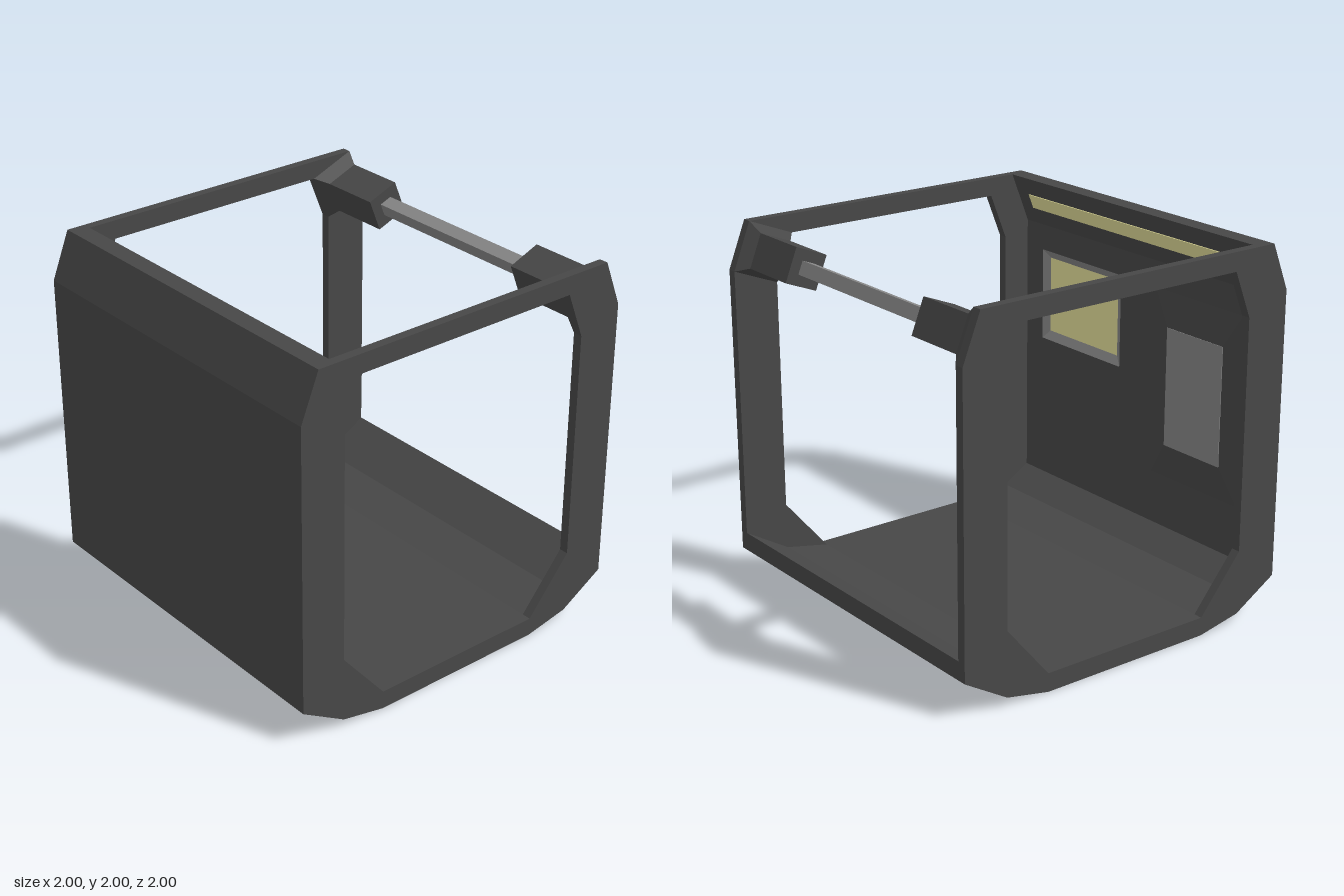
import * as THREE from 'three';

const mat = (name, color) => Object.assign(new THREE.MeshStandardMaterial({ color }), { name });

// Polygon from [x, y] pairs, with optional hole
function polygon(points, hole) {
  const toVec = (p) => new THREE.Vector2(p[0], p[1]);
  const shape = new THREE.Shape(points.map(toVec));
  if (hole) shape.holes.push(new THREE.Path(hole.map(toVec)));
  return shape;
}

const extrude = (shape, depth) => new THREE.ExtrudeGeometry(shape, { depth, bevelEnabled: false });

// Flat-faced skin through four-cornered sections, optionally capped
function loft(sections, caps = true) {
  const pos = [];
  const quad = (a, b, c, d) => pos.push(...a, ...b, ...c, ...a, ...c, ...d);
  for (let s = 0; s + 1 < sections.length; s++) {
    const A = sections[s], B = sections[s + 1];
    for (let i = 0; i < 4; i++) {
      const j = (i + 1) % 4;
      quad(A[i], A[j], B[j], B[i]);
    }
  }
  if (caps) {
    const F = sections[0], L = sections[sections.length - 1];
    quad(F[3], F[2], F[1], F[0]);
    quad(L[0], L[1], L[2], L[3]);
  }
  const g = new THREE.BufferGeometry();
  g.setAttribute('position', new THREE.Float32BufferAttribute(pos, 3));
  g.computeVertexNormals();
  return g;
}

export function createModel() {
  const hull = mat('dark hull', 0x474747);
  const metal = mat('grey metal', 0x868686);
  const glow = mat('pale yellow light', 0xe4df9a);

  const root = new THREE.Group();
  root.name = 'corridorModule';
  const add = (name, geometry, material, x = 0, y = 0, z = 0) => {
    const m = new THREE.Mesh(geometry, material);
    m.name = name;
    m.position.set(x, y, z);
    root.add(m);
    return m;
  };

  // End frames
  const frame = polygon(
    [[-1, 0.2], [-0.75, 0.05], [-0.5, 0], [0.5, 0], [0.75, 0.05], [1, 0.2],
      [1, 1.75], [0.9, 2], [-0.9, 2], [-1, 1.75]],
    [[-0.75, 0.4], [-0.75, 1.65], [-0.65, 1.9], [0.65, 1.9], [0.75, 1.65],
      [0.75, 0.4], [0.5, 0.1], [-0.5, 0.1]]);
  add('frontFrame', extrude(frame, 0.05), hull, 0, 0, 0.95);
  add('backFrame', extrude(frame, 0.05), hull, 0, 0, -1);

  // Floor and closed side wall in one section
  const wallX = -0.91, wallFoot = 0.246, wallTop = 1.725;
  const shell = polygon([
    [-1, 1.75], [-1, 0.2], [-0.75, 0.05], [-0.5, 0], [0.5, 0], [0.75, 0.05], [1, 0.2],
    [1, 0.3], [0.75, 0.15], [0.5, 0.1], [-0.5, 0.1], [-0.75, 0.15], [wallX, wallFoot],
    [-0.95, wallFoot], [-0.95, wallTop], [wallX, wallTop], [-0.8, 2], [-0.9, 2]]);
  add('floorAndWall', extrude(shell, 1.9), hull, 0, 0, -0.95);

  // Inner wall lining with the window opening (drawn with -z to the right)
  const lining = polygon(
    [[-0.95, wallFoot], [0.95, wallFoot], [0.95, wallTop], [-0.95, wallTop]],
    [[-0.81, 1.06], [-0.81, 1.58], [-0.14, 1.58], [-0.14, 1.06]]);
  add('wallLining', extrude(lining, 0.04).rotateY(Math.PI / 2), hull, -0.95);

  // Recessed lit window
  const rect = (x, y0, y1, z0, z1) => [[x, y0, z0], [x, y1, z0], [x, y1, z1], [x, y0, z1]];
  add('windowFrame', loft([
    rect(wallX, 1.06, 1.58, 0.14, 0.81),
    rect(wallX - 0.025, 1.11, 1.535, 0.19, 0.765)], false), metal);
  add('windowPane', new THREE.BoxGeometry(0.008, 0.435, 0.585), glow, wallX - 0.028, 1.3225, 0.4775);

  // Raised wall panel
  add('panelSurround', loft([
    rect(wallX, 0.54, 1.58, -0.8, -0.14),
    rect(wallX + 0.022, 0.73, 1.39, -0.68, -0.26)]), hull);
  add('panelPlate', new THREE.BoxGeometry(0.006, 0.66, 0.42), metal, wallX + 0.022, 1.06, -0.473);

  // Light strip on the leaning top of the wall
  const strip = add('lightStrip', new THREE.BoxGeometry(0.008, 0.086, 1.7), glow, -0.856, 1.86, 0);
  strip.rotation.z = -Math.atan2(0.11, 0.275);

  // Handrail: a corner section shrunk towards its centre
  const corner = [[0.65, 1.9], [0.75, 1.65], [1, 1.75], [0.9, 2]];
  const section = (k, z) =>
    corner.map(([x, y]) => [0.825 + (x - 0.825) * k, 1.825 + (y - 1.825) * k, z]);
  add('rail', loft([section(0.27, -0.56), section(0.27, 0.56)]), metal);
  add('frontRailBracket', loft([section(0.7, 0.54), section(0.7, 0.88), section(1, 0.95)]), hull);
  add('backRailBracket', loft([section(1, -0.95), section(0.7, -0.88), section(0.7, -0.54)]), hull);

  return root;
}
